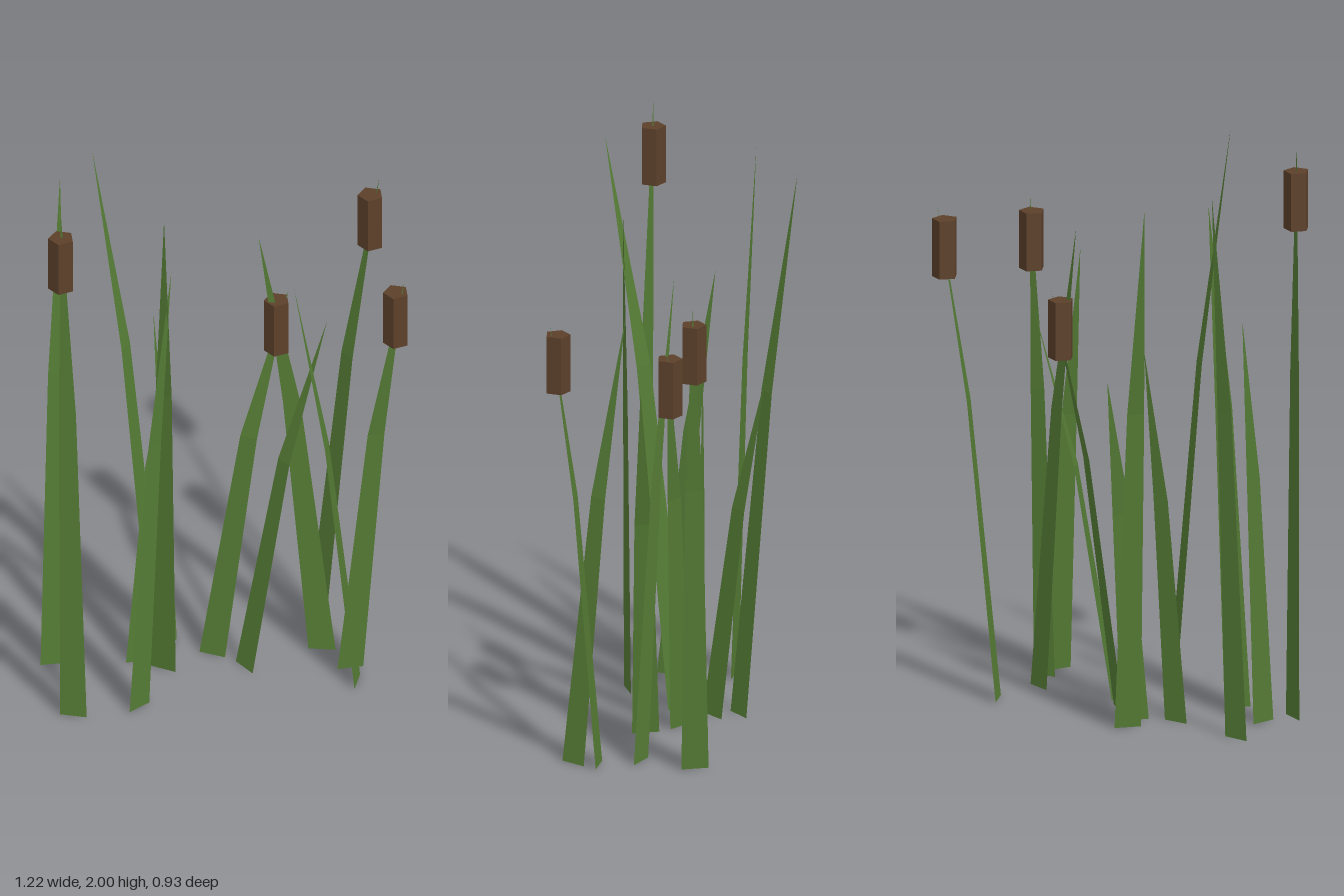
import * as THREE from 'three';

const green = new THREE.MeshStandardMaterial({ color: 0x557c35, side: THREE.DoubleSide, flatShading: true });
green.name = 'leaf green';
const brown = new THREE.MeshStandardMaterial({ color: 0x5c402a, flatShading: true });
brown.name = 'seed head brown';

const MID = 0.6, MID_WIDTH = 0.65;
const bend = (t) => Math.pow(t, 1.45);

// Flat ribbon: base edge a-b on the ground, narrower middle edge, pointed tip
function blade([ax, az, bx, bz, tx, ty, tz]) {
  const cx = (ax + bx) / 2, cz = (az + bz) / 2;
  const mx = cx + (tx - cx) * bend(MID), mz = cz + (tz - cz) * bend(MID), my = ty * MID;
  const wx = (bx - ax) / 2 * MID_WIDTH, wz = (bz - az) / 2 * MID_WIDTH;
  const geo = new THREE.BufferGeometry();
  geo.setAttribute('position', new THREE.Float32BufferAttribute([
    ax, 0, az, bx, 0, bz,
    mx - wx, my, mz - wz, mx + wx, my, mz + wz,
    tx, ty, tz,
  ], 3));
  geo.setIndex([0, 1, 3, 0, 3, 2, 2, 3, 4]);
  geo.computeVertexNormals();
  return new THREE.Mesh(geo, green);
}

// Base corner x, z; other base corner x, z; tip x, y, z
const leaves = [
  [0.44, 0.08, 0.44, -0.01, 0.215, 1.52, -0.01],
  [0.02, 0.0, 0.09, 0.06, 0.30, 1.31, -0.14],
  [0.24, -0.125, 0.33, -0.135, 0.075, 1.64, -0.105],
  [-0.61, 0.158, -0.525, 0.125, -0.567, 1.89, 0.05],
  [-0.45, 0.275, -0.43, 0.362, -0.525, 1.43, 0.19],
  [-0.285, -0.062, -0.26, -0.148, -0.505, 1.86, -0.172],
  [-0.22, 0.005, -0.20, -0.09, -0.303, 1.22, -0.20],
  [-0.335, 0.085, -0.255, 0.047, -0.207, 1.27, -0.005],
  [-0.25, 0.085, -0.162, 0.105, -0.147, 1.98, 0.36],
  [-0.262, 0.37, -0.21, 0.30, -0.14, 1.72, 0.278],
];

// Stems, each followed by its seed head centre x, y, z
const stems = [
  [[0.195, -0.345, 0.265, -0.285, 0.412, 1.70, -0.448], [0.386, 1.54, -0.43]],
  [[0.36, -0.025, 0.44, -0.06, 0.595, 1.61, 0.012], [0.565, 1.46, 0.003]],
  [[-0.11, -0.03, -0.02, -0.015, 0.167, 1.41, -0.15], [0.132, 1.28, -0.13]],
  [[-0.485, 0.43, -0.395, 0.43, -0.485, 2.0, 0.42], [-0.483, 1.805, 0.421]],
];

export function createModel() {
  const model = new THREE.Group();
  model.name = 'reeds';

  leaves.forEach((spec) => {
    const leaf = blade(spec);
    leaf.name = 'leaf';
    model.add(leaf);
  });

  // Five-sided seed heads around the upper stems
  const headGeo = new THREE.CylinderGeometry(0.044, 0.044, 0.2, 5);
  stems.forEach(([spec, centre]) => {
    const reed = new THREE.Group();
    reed.name = 'reed';
    const stem = blade(spec);
    stem.name = 'stem';
    const head = new THREE.Mesh(headGeo, brown);
    head.name = 'seedHead';
    head.position.set(...centre);
    reed.add(stem, head);
    model.add(reed);
  });
  return model;
}
